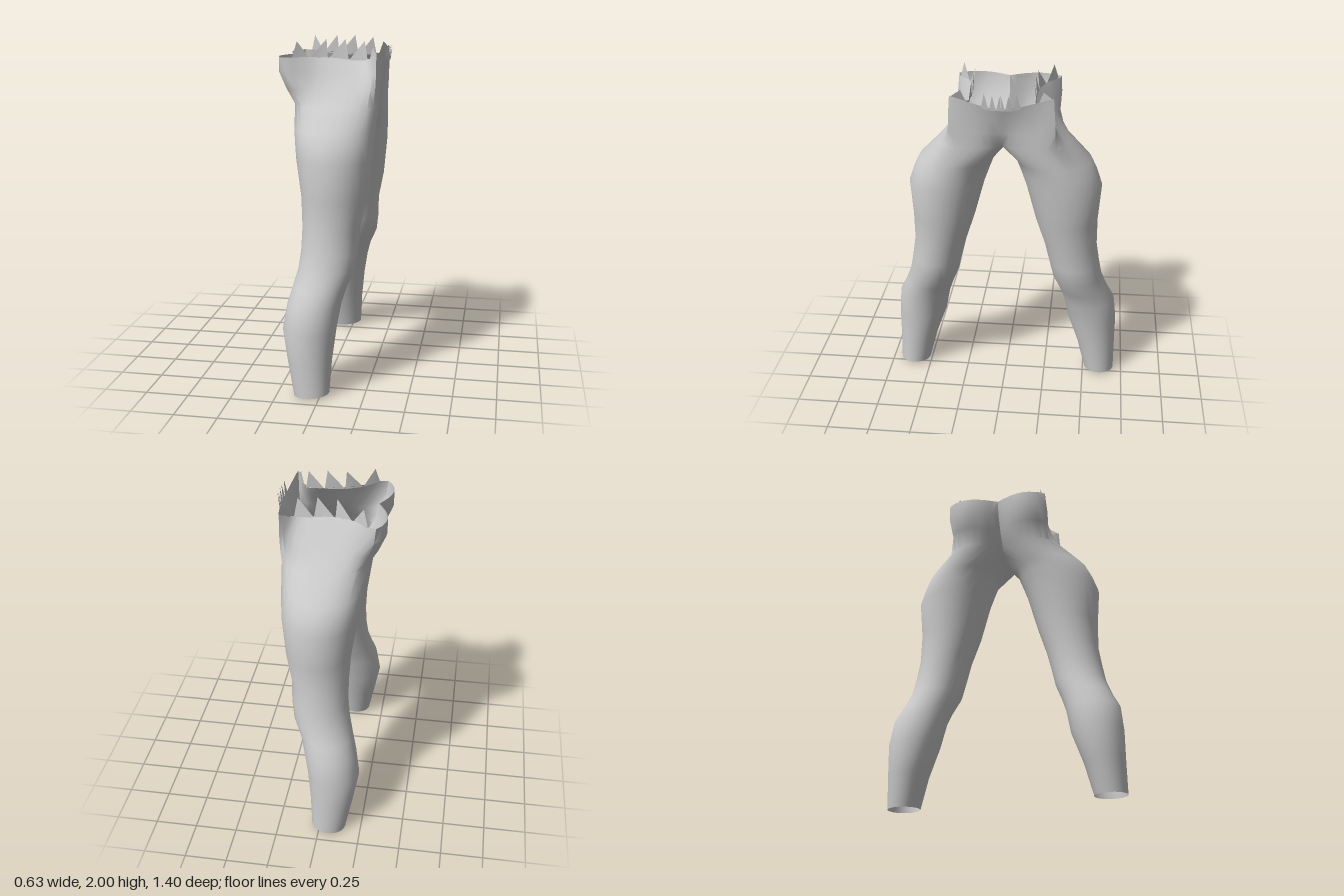
import * as THREE from 'three';
import { toCreasedNormals } from 'three/addons/utils/BufferGeometryUtils.js';

const SEG = 32, OPEN = 24; // points round a leg; the first 24 spans carry on into the hips

// Leg levels from ankle to groin: y, back x, front x, inner z, outer z
const LEG = [
  [0.01, -0.155, 0.05, 0.51, 0.698],
  [0.20, -0.195, 0.06, 0.46, 0.697],
  [0.38, -0.228, 0.08, 0.395, 0.697],
  [0.53, -0.205, 0.105, 0.365, 0.68],
  [0.62, -0.18, 0.13, 0.335, 0.635],
  [0.72, -0.155, 0.175, 0.295, 0.597],
  [0.82, -0.143, 0.188, 0.272, 0.577],
  [0.95, -0.14, 0.193, 0.24, 0.556],
  [1.12, -0.15, 0.228, 0.185, 0.555],
  [1.34, -0.182, 0.25, 0.125, 0.572],
  [1.43, -0.195, 0.256, 0.092, 0.54],
  [1.50, -0.205, 0.26, 0.065, 0.505],
];

// Hip levels, half outline from belly centre round the side to the back cleft: [x, z, y offset]
const HIPS = [
  { y: 1.63, pts: [[0.21, 0], [0.25, 0.08], [0.265, 0.2], [0.245, 0.31], [0.15, 0.37], [0.03, 0.375],
    [-0.1, 0.35], [-0.19, 0.28], [-0.228, 0.17], [-0.2, 0.07], [-0.12, 0]] },
  { y: 1.72, pts: [[0.25, 0], [0.262, 0.1], [0.265, 0.2], [0.255, 0.305], [0.17, 0.3], [0.04, 0.295],
    [-0.1, 0.295], [-0.22, 0.3], [-0.275, 0.2], [-0.25, 0.08], [-0.18, 0]] },
  { y: 1.81, pts: [[0.28, 0], [0.275, 0.1], [0.27, 0.2], [0.26, 0.3], [0.2, 0.245], [0.05, 0.235],
    [-0.1, 0.255], [-0.25, 0.315], [-0.315, 0.2], [-0.295, 0.1], [-0.23, 0]] },
  { y: 1.9, pts: [[0.305, 0, -0.025], [0.295, 0.1, -0.01], [0.28, 0.2, 0.015], [0.26, 0.29, 0.035], [0.2, 0.19, -0.015],
    [0.05, 0.185, -0.01], [-0.1, 0.21], [-0.26, 0.31], [-0.315, 0.2], [-0.3, 0.1], [-0.25, 0]] },
];

// Torn teeth on the upper edge: two base points and a peak, each [x, y, z]
const TEETH = [
  [[0.255, 1.93, 0.28], [0.21, 1.88, 0.2], [0.235, 1.96, 0.23]],
  [[0.2, 1.88, 0.19], [0.09, 1.88, 0.185], [0.18, 1.99, 0.175]],
  [[0.09, 1.88, 0.185], [-0.03, 1.885, 0.19], [0.07, 2.0, 0.175]],
  [[-0.03, 1.885, 0.19], [-0.13, 1.89, 0.225], [-0.04, 2.0, 0.18]],
  [[-0.13, 1.89, 0.225], [-0.22, 1.9, 0.29], [-0.195, 1.99, 0.265]],
  [[0.295, 1.88, 0.11], [0.3, 1.87, 0.065], [0.31, 1.97, 0.09]],
  [[0.3, 1.87, 0.065], [0.305, 1.87, 0.025], [0.315, 1.96, 0.045]],
  [[0.305, 1.87, 0.025], [0.305, 1.87, 0], [0.315, 1.96, 0.003]],
];

function legRing([y, x0, x1, z0, z1], level) {
  return Array.from({ length: SEG + 1 }, (_, i) => {
    const a = -Math.PI / 4 + (i % SEG) * 2 * Math.PI / SEG;
    const x = (x0 + x1) / 2 + (x1 - x0) / 2 * Math.cos(a);
    const z = (z0 + z1) / 2 + (z1 - z0) / 2 * Math.sin(a);
    return [x, level === 0 ? y + 0.09 * (x + 0.05) : y, z]; // tilted ankle cut
  });
}

function hipRing({ y, pts }) {
  const curve = new THREE.CatmullRomCurve3(
    pts.map(([x, z, dy = 0]) => new THREE.Vector3(x, y + dy, z)), false, 'centripetal');
  return curve.getPoints(OPEN).map(p => [p.x, p.y, Math.max(0, p.z)]);
}

function createModel() {
  const group = new THREE.Group();
  const material = new THREE.MeshStandardMaterial({ color: 0xcccccc, side: THREE.DoubleSide });
  const body = [], torn = [];

  const legs = LEG.map(legRing), hips = HIPS.map(hipRing);

  // Arch between the legs, lying on the mirror plane
  const back = hips[0][OPEN], front = hips[0][0];
  const arch = Array.from({ length: SEG - OPEN + 1 }, (_, i) => {
    const t = i / (SEG - OPEN);
    return [THREE.MathUtils.lerp(back[0], front[0], t), 1.63 - 0.05 * Math.sin(Math.PI * t), 0];
  });

  for (const side of [1, -1]) {
    const tri = (out, a, b, c) => {
      for (const p of side > 0 ? [a, b, c] : [a, c, b]) out.push(p[0], p[1], p[2] * side);
    };
    const loft = (lower, upper) => {
      for (let i = 0; i < lower.length - 1; i++) {
        tri(body, lower[i], upper[i], upper[i + 1]);
        tri(body, lower[i], upper[i + 1], lower[i + 1]);
      }
    };
    const groin = legs[legs.length - 1];
    for (let r = 0; r < legs.length - 1; r++) loft(legs[r], legs[r + 1]);
    loft(groin.slice(0, OPEN + 1), hips[0]);
    loft(groin.slice(OPEN), arch);
    for (let r = 0; r < hips.length - 1; r++) loft(hips[r], hips[r + 1]);
    for (const [a, b, peak] of TEETH) tri(torn, a, peak, b);
  }

  const addMesh = (name, positions, crease) => {
    const geometry = new THREE.BufferGeometry();
    geometry.setAttribute('position', new THREE.Float32BufferAttribute(positions, 3));
    const mesh = new THREE.Mesh(toCreasedNormals(geometry, crease), material);
    mesh.name = name;
    group.add(mesh);
  };
  addMesh('legsAndHips', body, 1.0);
  addMesh('tornWaistEdge', torn, 0.5);
  group.name = 'legs';
  return group;
}

export { createModel };
